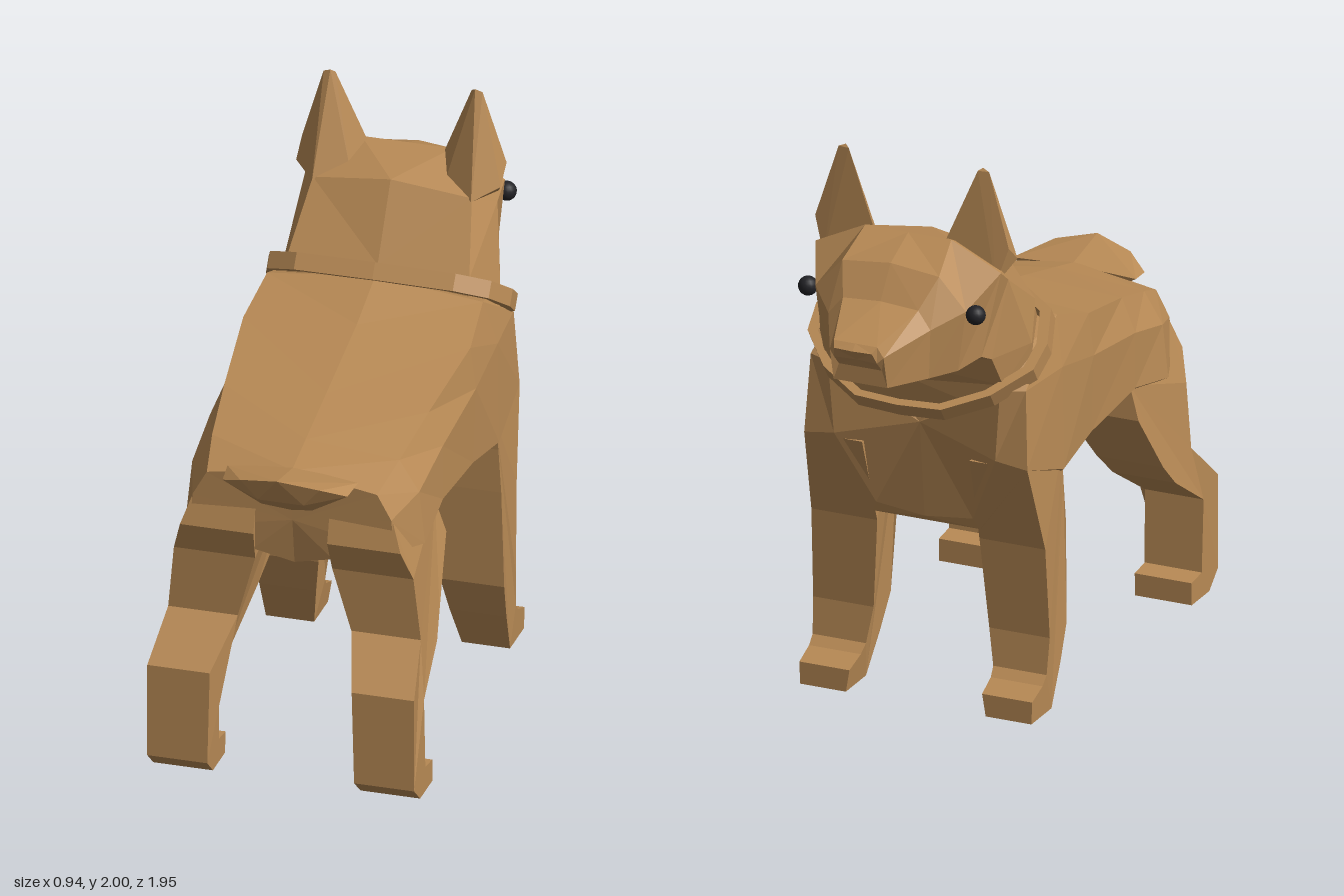
import * as THREE from 'three';
import { ConvexGeometry } from 'three/addons/geometries/ConvexGeometry.js';

const fur = new THREE.MeshStandardMaterial({ color: 0xb88a55 });
fur.name = 'tan fur';
const black = new THREE.MeshStandardMaterial({ color: 0x222226 });
black.name = 'eye black';

// Mesh with one normal per face
function facet(name, geometry, material = fur) {
  const g = geometry.index ? geometry.toNonIndexed() : geometry;
  g.computeVertexNormals();
  const mesh = new THREE.Mesh(g, material);
  mesh.name = name;
  return mesh;
}

// Skin over rings; each ring lists half its points from top centre to bottom centre
function loft(halfRings) {
  const rings = halfRings.map((h) => [
    ...h, ...h.slice(1, -1).reverse().map(([x, y, z]) => [-x, y, z]),
  ]);
  const n = rings[0].length;
  const out = [];
  const centre = (r) => [0, 1, 2].map((k) => r.reduce((s, p) => s + p[k], 0) / n);
  const first = rings[0], last = rings[rings.length - 1];
  const c0 = centre(first), c1 = centre(last);
  for (let j = 0; j < n; j++) {
    const k = (j + 1) % n;
    for (let i = 0; i < rings.length - 1; i++) {
      const a = rings[i][j], b = rings[i][k], c = rings[i + 1][k], d = rings[i + 1][j];
      // Mirror the diagonal on the second half
      if (j < n / 2) out.push(...a, ...b, ...c, ...a, ...c, ...d);
      else out.push(...a, ...b, ...d, ...b, ...c, ...d);
    }
    out.push(...c0, ...first[k], ...first[j], ...c1, ...last[j], ...last[k]);
  }
  const g = new THREE.BufferGeometry();
  g.setAttribute('position', new THREE.Float32BufferAttribute(out, 3));
  return g;
}

// Piecewise linear lookup of rows [y, inner, outer], y rising
function widthAt(rows, y) {
  for (let i = 1; i < rows.length; i++) {
    const [a, b] = [rows[i - 1], rows[i]];
    if (y <= b[0] || i === rows.length - 1) {
      const t = THREE.MathUtils.clamp((y - a[0]) / (b[0] - a[0]), 0, 1);
      return [a[1] + (b[1] - a[1]) * t, a[2] + (b[2] - a[2]) * t];
    }
  }
}

// Side outline [z, y] given thickness between the inner and outer x at each height
function leg(profile, rows, side) {
  const shape = new THREE.Shape(profile.map(([z, y]) => new THREE.Vector2(-z, y)));
  const g = new THREE.ExtrudeGeometry(shape, { depth: 1, bevelEnabled: false });
  g.rotateY(Math.PI / 2);
  const p = g.attributes.position;
  for (let i = 0; i < p.count; i++) {
    const [inner, outer] = widthAt(rows, p.getY(i));
    const lo = side > 0 ? inner : -outer;
    p.setX(i, lo + p.getX(i) * (outer - inner));
  }
  return g;
}

const hull = (pts, s = 1) => new ConvexGeometry(pts.map(([x, y, z]) => new THREE.Vector3(s * x, y, z)));

export function createModel() {
  const dog = new THREE.Group();
  dog.name = 'dog';

  // Trunk, from the rounded rump to the broad chest
  dog.add(facet('body', loft([
    [[0, 1.14, 0.8], [0.3, 1.09, 0.8], [0.35, 1.0, 0.8], [0.36, 0.88, 0.8], [0.14, 0.82, 0.79], [0, 0.78, 0.77]],
    [[0, 1.18, 0.64], [0.33, 1.15, 0.64], [0.4, 1.04, 0.64], [0.42, 0.85, 0.64], [0.2, 0.8, 0.64], [0, 0.78, 0.64]],
    [[0, 1.24, 0.4], [0.36, 1.22, 0.4], [0.41, 1.1, 0.4], [0.41, 0.9, 0.4], [0.22, 0.79, 0.4], [0, 0.78, 0.4]],
    [[0, 1.33, 0.05], [0.4, 1.3, 0.05], [0.42, 1.15, 0.05], [0.41, 0.87, 0.05], [0.2, 0.67, 0.02], [0, 0.65, -0.02]],
    [[0, 1.41, -0.16], [0.38, 1.37, -0.16], [0.42, 1.2, -0.2], [0.425, 0.83, -0.2], [0.2, 0.64, -0.2], [0, 0.64, -0.2]],
    [[0, 1.36, -0.28], [0.36, 1.32, -0.33], [0.4, 1.2, -0.45], [0.415, 0.92, -0.47], [0.2, 0.64, -0.385], [0, 0.64, -0.385]],
    [[0, 1.3, -0.42], [0.28, 1.28, -0.42], [0.32, 1.2, -0.485], [0.3, 0.94, -0.48], [0.18, 0.68, -0.4], [0, 0.66, -0.4]],
  ])));

  // Neck, skull and muzzle with the overhanging nose
  dog.add(facet('neckAndHead', loft([
    [[0, 1.34, -0.16], [0.32, 1.32, -0.18], [0.37, 1.22, -0.34], [0.31, 1.1, -0.46], [0, 1.08, -0.48]],
    [[0, 1.44, -0.19], [0.32, 1.43, -0.2], [0.38, 1.34, -0.36], [0.33, 1.22, -0.48], [0, 1.2, -0.51]],
    [[0, 1.69, -0.34], [0.28, 1.65, -0.36], [0.34, 1.6, -0.46], [0.32, 1.34, -0.55], [0, 1.29, -0.59]],
    [[0, 1.74, -0.53], [0.16, 1.74, -0.53], [0.345, 1.65, -0.53], [0.3, 1.36, -0.59], [0, 1.3, -0.62]],
    [[0, 1.68, -0.67], [0.18, 1.66, -0.67], [0.28, 1.55, -0.67], [0.25, 1.33, -0.67], [0, 1.31, -0.68]],
    [[0, 1.57, -0.75], [0.14, 1.56, -0.75], [0.19, 1.5, -0.76], [0.18, 1.32, -0.75], [0, 1.315, -0.75]],
    [[0, 1.49, -0.95], [0.08, 1.49, -0.95], [0.1, 1.45, -0.94], [0.1, 1.33, -0.91], [0, 1.33, -0.91]],
    [[0, 1.47, -0.975], [0.07, 1.47, -0.97], [0.08, 1.43, -0.95], [0.08, 1.39, -0.91], [0, 1.39, -0.91]],
  ])));

  // Short upturned tail
  const tailHalf = [[0.23, 1.12, 0.79], [0.22, 1.11, 0.88], [0.14, 1.15, 0.94], [0.09, 1.03, 0.86], [0.08, 1.08, 0.93]];
  dog.add(facet('tail', hull([
    ...tailHalf, ...tailHalf.map(([x, y, z]) => [-x, y, z]),
    [0, 1.18, 0.975], [0, 1.14, 0.77], [0, 0.99, 0.8],
  ])));

  // Collar: tilted band, tapering to the front where it stands clear of the throat
  const collarHalf = [[0.28, -0.265], [0.39, -0.2], [0.43, -0.06], [0.42, 0.05], [0.31, 0.18], [0.16, 0.27]];
  const outline = (s) => [
    [0, -0.28], ...collarHalf, [0, 0.28], ...collarHalf.map(([x, t]) => [-x, t]).reverse(),
  ].map(([x, t]) => new THREE.Vector2(x * s, t * s));
  const band = new THREE.Shape(outline(1));
  band.holes.push(new THREE.Path(outline(0.91)));
  const collarGeo = new THREE.ExtrudeGeometry(band, { depth: 0.06, bevelEnabled: false });
  collarGeo.translate(0, 0, -0.03);
  collarGeo.rotateX(-2.174);
  collarGeo.translate(0, 1.28, -0.375);
  dog.add(facet('collar', collarGeo));

  const frontProfile = [
    [-0.19, 0.92], [-0.2, 0.8], [-0.2, 0.64], [-0.21, 0.28], [-0.25, 0.15], [-0.31, 0], [-0.47, 0], [-0.47, 0.08],
    [-0.39, 0.11], [-0.36, 0.14], [-0.345, 0.27], [-0.37, 0.6], [-0.42, 0.76], [-0.47, 0.92],
  ];
  const frontWidths = [[0, 0.26, 0.43], [0.27, 0.215, 0.44], [0.6, 0.19, 0.435], [0.92, 0.2, 0.415]];
  const hindProfile = [
    [0.79, 1.0], [0.82, 0.89], [0.78, 0.78], [0.77, 0.55], [0.93, 0.4], [0.93, 0.06], [0.86, 0], [0.72, 0],
    [0.72, 0.08], [0.8, 0.09], [0.815, 0.35], [0.62, 0.48], [0.55, 0.56], [0.4, 0.78], [0.41, 0.9], [0.5, 1.0],
  ];
  const hindWidths = [
    [0, 0.26, 0.47], [0.4, 0.25, 0.47], [0.55, 0.2, 0.445], [0.8, 0.13, 0.42], [0.9, 0.13, 0.385], [1, 0.13, 0.35],
  ];
  const earPoints = [
    [0.13, 1.72, -0.52], [0.36, 1.73, -0.5], [0.28, 1.64, -0.35], [0.36, 1.67, -0.43], [0.32, 1.6, -0.52],
    [0.17, 1.68, -0.42], [0.24, 1.99, -0.49], [0.28, 1.99, -0.485], [0.255, 2, -0.48],
  ];

  // Paired parts
  for (const [s, label] of [[1, 'left'], [-1, 'right']]) {
    dog.add(facet(label + 'FrontLeg', leg(frontProfile, frontWidths, s)));
    dog.add(facet(label + 'HindLeg', leg(hindProfile, hindWidths, s)));
    dog.add(facet(label + 'Ear', hull(earPoints, s)));
    const eye = new THREE.Mesh(new THREE.SphereGeometry(0.034, 16, 12), black);
    eye.name = label + 'Eye';
    eye.position.set(s * 0.312, 1.54, -0.66);
    dog.add(eye);
  }
  return dog;
}
